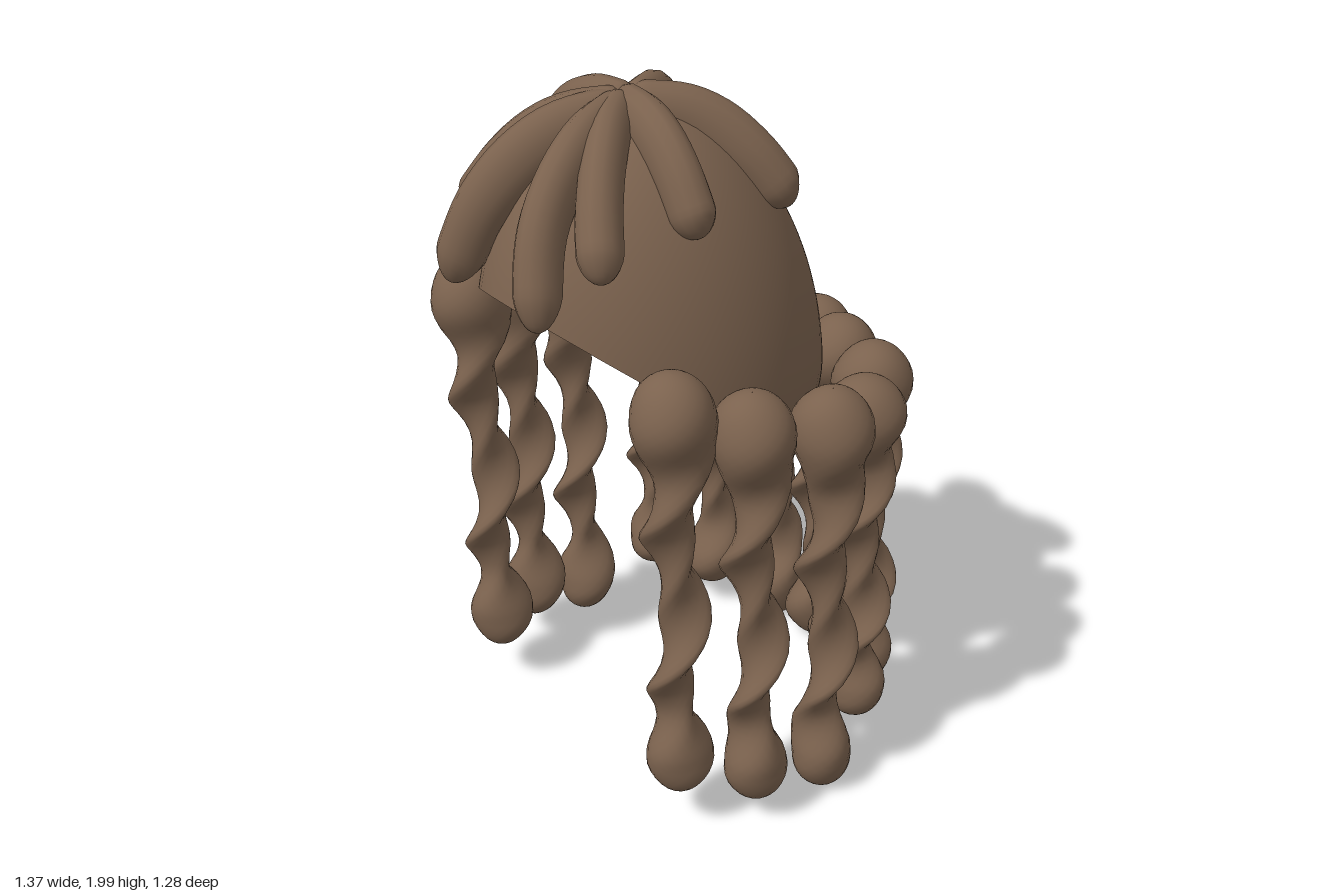
import * as THREE from 'three';
import { mergeVertices } from 'three/addons/utils/BufferGeometryUtils.js';

const V = (a) => new THREE.Vector3(...a);

// Smooth interpolation through [t, radius, flatness] keys
function profile(keys, t) {
  let i = 0;
  while (i < keys.length - 2 && t > keys[i + 1][0]) i++;
  const [t0, r0, f0] = keys[i], [t1, r1, f1] = keys[i + 1];
  const s = THREE.MathUtils.smoothstep(t, t0, t1);
  return [r0 + (r1 - r0) * s, f0 + (f1 - f0) * s];
}

// Closed lock of hair: oval sections along a curve, twisted, with rounded ends
function sweep(points, keys, { ref, rings = 40, sides = 14, turns = 0, phase = 0, capA = 0.1, capB = 0.1, sway = 0 }) {
  const curve = new THREE.CatmullRomCurve3(points.map(V));
  const axis = V(points[points.length - 1]).sub(V(points[0])).normalize();
  const side = new THREE.Vector3().crossVectors(axis, V(ref)).normalize();
  const pos = [], index = [];
  for (let i = 0; i <= rings; i++) {
    const t = (1 - Math.cos(Math.PI * i / rings)) / 2;
    const c = curve.getPointAt(t), tan = curve.getTangentAt(t);
    const n = side.clone().addScaledVector(tan, -side.dot(tan)).normalize();
    const b = new THREE.Vector3().crossVectors(tan, n);
    let [r, flat] = profile(keys, t);
    if (t < capA) r *= Math.sqrt(Math.max(0, 1 - (1 - t / capA) ** 2));
    if (t > 1 - capB) r *= Math.sqrt(Math.max(0, 1 - (1 - (1 - t) / capB) ** 2));
    r = Math.max(r, 0.0005);
    const w = phase + turns * Math.PI * 2 * t, cw = Math.cos(w), sw = Math.sin(w);
    const off = sway * (1 - flat);
    for (let j = 0; j < sides; j++) {
      const a = j / sides * Math.PI * 2;
      const p = Math.cos(a) * r + off, q = Math.sin(a) * r * flat;
      const v = c.clone().addScaledVector(n, p * cw - q * sw).addScaledVector(b, p * sw + q * cw);
      pos.push(v.x, v.y, v.z);
      if (i < rings) {
        const k = (j + 1) % sides, A = i * sides + j, B = i * sides + k;
        index.push(A, B, A + sides, B, B + sides, A + sides);
      }
    }
  }
  const g = new THREE.BufferGeometry();
  g.setAttribute('position', new THREE.Float32BufferAttribute(pos, 3));
  g.setIndex(index);
  g.computeVertexNormals();
  return g;
}

// Open egg-shaped cap, cut off by a slanted plane that faces down and forward
function capGeometry() {
  const ax = 0.425, az = 0.492, yMid = 1.2, zMid = 0.102, shear = 0.08, zCut = 0.197;
  let g = new THREE.SphereGeometry(1, 64, 28, 0, Math.PI * 2, 0, Math.PI / 2);
  g.rotateX(-0.678);
  g.deleteAttribute('normal');
  g.deleteAttribute('uv');
  g = mergeVertices(g, 1e-4);
  const p = g.attributes.position, d = new THREE.Vector3();
  for (let i = 0; i < p.count; i++) {
    d.fromBufferAttribute(p, i);
    const by = d.y > 0 ? 0.74 : 0.4;
    const dz = d.z - shear * d.y, z0 = zCut - zMid;
    const A = (d.x / ax) ** 2 + (dz / az) ** 2 + (d.y / by) ** 2;
    const B = z0 * dz / az ** 2, C = (z0 / az) ** 2 - 1;
    const t = (-B + Math.sqrt(B * B - A * C)) / A;
    p.setXYZ(i, -0.015 + d.x * t, yMid + d.y * t, zCut + d.z * t);
  }
  g.computeVertexNormals();
  return g;
}

export function createModel() {
  const model = new THREE.Group();
  const brown = new THREE.MeshStandardMaterial({ color: 0x7b624e, side: THREE.DoubleSide });
  brown.name = 'brown hair';
  const add = (name, geometry, parent = model) => {
    const m = new THREE.Mesh(geometry, brown);
    m.name = name;
    parent.add(m);
  };

  add('hairCap', capGeometry());

  // Deep locks fanning out from the crown, mirrored left and right
  const locks = {
    backLock: [[-0.02, 1.925, 0.17], [0.08, 1.9, 0.03], [0.19, 1.8, -0.08], [0.26, 1.67, -0.16]],
    sideLock: [[-0.03, 1.925, 0.17], [0.12, 1.91, 0.19], [0.24, 1.83, 0.2], [0.335, 1.69, 0.2]],
    frontSideLock: [[-0.02, 1.925, 0.17], [0.09, 1.89, 0.3], [0.2, 1.78, 0.405], [0.3, 1.63, 0.475]],
    frontLock: [[-0.01, 1.925, 0.17], [0.06, 1.88, 0.36], [0.125, 1.73, 0.52], [0.2, 1.5, 0.6]],
  };
  const crown = new THREE.Group();
  crown.name = 'crownLocks';
  model.add(crown);
  const lockKeys = [[0, 0.05, 1.5], [0.45, 0.058, 1.4], [0.85, 0.06, 1.15], [1, 0.055, 1]];
  for (const [name, pts] of Object.entries(locks)) {
    for (const s of [1, -1]) {
      const path = pts.map(([x, y, z]) => [s * x - 0.02, y, z]);
      add((s > 0 ? 'left ' : 'right ') + name,
        sweep(path, lockKeys, { ref: [0, 1, 0], rings: 30, capA: 0.1, capB: 0.14 }), crown);
    }
  }

  // Twisted strands around the rim: top x, y, z, then tip x, y, z
  const strands = [
    [-0.46, 1.44, 0.41, -0.45, 0.14, 0.37], [-0.56, 1.37, 0.2, -0.6, 0.08, 0.15],
    [-0.575, 1.31, 0.0, -0.6, 0.02, -0.05], [-0.49, 1.25, -0.24, -0.53, 0.14, -0.29],
    [-0.345, 1.24, -0.37, -0.39, 0.08, -0.42], [-0.14, 1.23, -0.47, -0.2, 0.01, -0.54],
    [0.0, 1.23, -0.48, -0.03, 0.01, -0.56], [0.135, 1.23, -0.45, 0.14, 0.02, -0.51],
    [0.34, 1.24, -0.39, 0.31, 0.08, -0.44], [0.49, 1.25, -0.22, 0.48, 0.14, -0.25],
    [0.57, 1.31, -0.03, 0.54, 0.01, -0.07], [0.55, 1.37, 0.22, 0.53, 0.08, 0.17],
    [0.46, 1.44, 0.4, 0.43, 0.14, 0.36],
  ];
  const strandKeys = [[0, 0.112, 0.95], [0.1, 0.115, 0.95], [0.25, 0.075, 0.7], [0.35, 0.073, 0.58],
    [0.7, 0.07, 0.56], [0.78, 0.06, 0.65], [0.9, 0.096, 0.88], [1, 0.088, 0.95]];
  const fringe = new THREE.Group();
  fringe.name = 'twistedStrands';
  model.add(fringe);
  strands.forEach(([x, y, z, ex, ey, ez], i) => {
    const mid = (k, f) => [x + (ex - x) * k, y + (ey - y) * f, z + (ez - z) * k];
    const path = [[x, y, z], mid(0.3, 0.25), mid(0.75, 0.6), [ex, ey, ez]];
    add('strand ' + (i + 1), sweep(path, strandKeys, { ref: [0.31, 0.2, 0.93], rings: 72, sides: 16,
      turns: 2.6, phase: i * 0.5, capA: 0.1, capB: 0.085, sway: 0.05 }), fringe);
  });
  return model;
}
